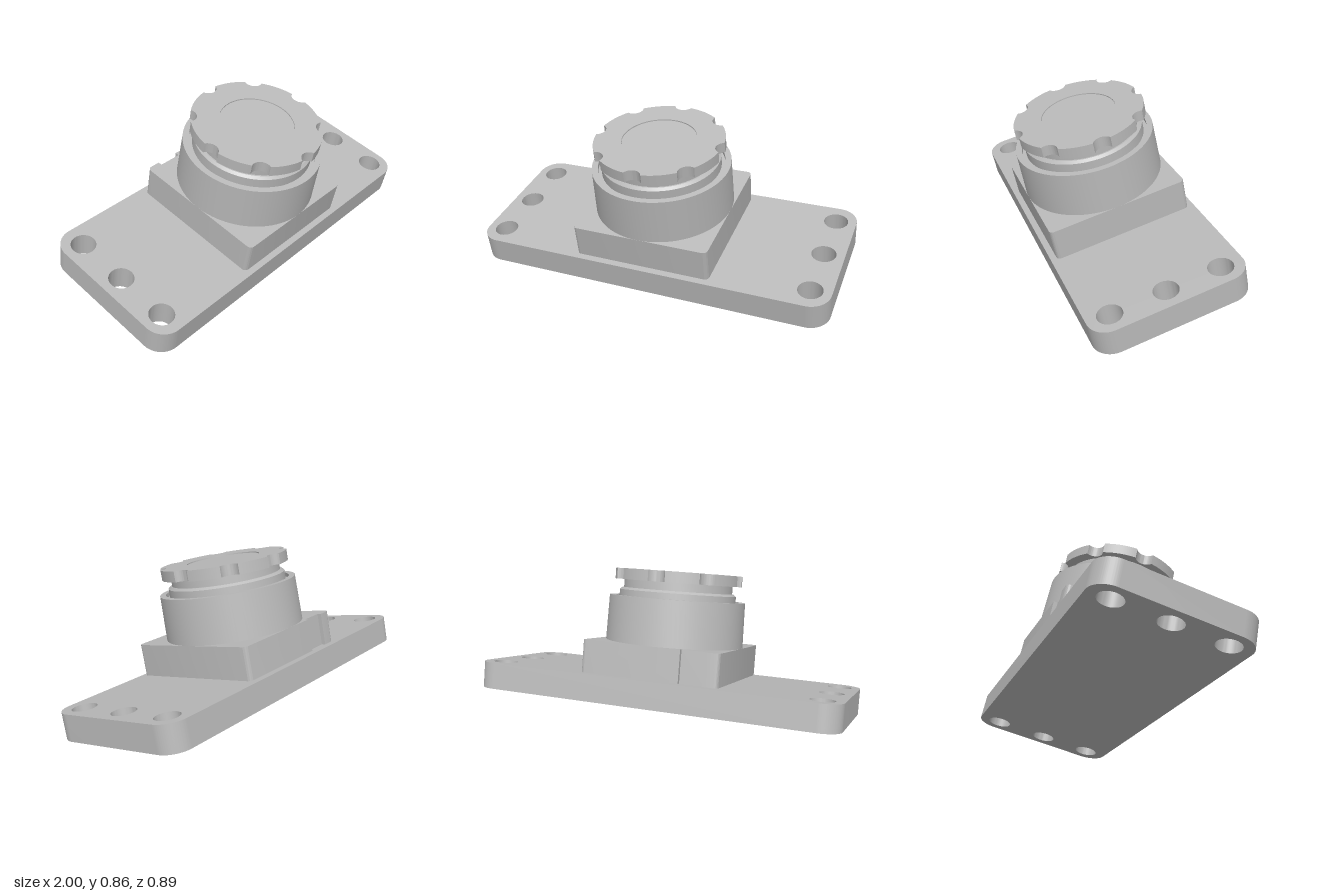
import * as THREE from 'three';
import { toCreasedNormals } from 'three/addons/utils/BufferGeometryUtils.js';

const grey = new THREE.MeshStandardMaterial({ color: 0xbababa });
grey.name = 'plain grey';

function part(name, geometry) {
  const mesh = new THREE.Mesh(toCreasedNormals(geometry, 0.5), grey);
  mesh.name = name;
  return mesh;
}

// Extrudes a plan outline (shape y points to the back) from height y0 to y1
function slab(name, shape, y0, y1) {
  const g = new THREE.ExtrudeGeometry(shape, { depth: y1 - y0, bevelEnabled: false, curveSegments: 24 });
  g.rotateX(-Math.PI / 2);
  g.translate(0, y0, 0);
  return part(name, g);
}

function circlePath(x, y, r) {
  return new THREE.Path().absarc(x, y, r, 0, Math.PI * 2, true);
}

// Rounded rectangle, with an optional slot { x0, x1, depth } cut in the back edge
function roundedRect(hw, hd, r, slot) {
  const s = new THREE.Shape();
  s.absarc(hw - r, -hd + r, r, -Math.PI / 2, 0, false);
  s.absarc(hw - r, hd - r, r, 0, Math.PI / 2, false);
  if (slot) {
    s.lineTo(slot.x1, hd);
    s.lineTo(slot.x1, hd - slot.depth);
    s.lineTo(slot.x0, hd - slot.depth);
    s.lineTo(slot.x0, hd);
  }
  s.absarc(-hw + r, hd - r, r, Math.PI / 2, Math.PI, false);
  s.absarc(-hw + r, -hd + r, r, Math.PI, Math.PI * 1.5, false);
  s.closePath();
  return s;
}

// Disc outline with eight finger scallops
function knobOutline(R, d, r) {
  const a = Math.acos((R * R + d * d - r * r) / (2 * R * d));
  const b = Math.atan2(R * Math.sin(a), R * Math.cos(a) - d);
  const s = new THREE.Shape();
  for (let i = 0; i < 8; i++) {
    const t = i * Math.PI / 4;
    s.absarc(d * Math.cos(t), d * Math.sin(t), r, t - b, t + b, true);
    s.absarc(0, 0, R, t + a, t + Math.PI / 4 - a, false);
  }
  s.closePath();
  return s;
}

export function createModel() {
  const model = new THREE.Group();
  model.name = 'tiltedKnobOnPlate';

  // Everything leans forward together
  const tilted = new THREE.Group();
  tilted.name = 'tiltedAssembly';
  tilted.rotation.x = THREE.MathUtils.degToRad(12);
  tilted.position.set(0, 0.086, -0.0435);
  model.add(tilted);

  // Mounting plate with three through holes at each end
  const plate = roundedRect(1, 0.4125, 0.11);
  for (const x of [-0.89, 0.89]) {
    for (const z of [-0.293, 0, 0.293]) plate.holes.push(circlePath(x, z, 0.065));
  }
  tilted.add(slab('mountingPlate', plate, 0, 0.143));

  // Square housing, standing just clear of the plate on a thin pad
  const pad = new THREE.CylinderGeometry(0.2, 0.2, 0.006, 48);
  pad.translate(0, 0.145, 0);
  tilted.add(part('pad', pad));
  const housing = roundedRect(0.38, 0.38, 0.025, { x0: -0.3, x1: -0.17, depth: 0.022 });
  tilted.add(slab('squareHousing', housing, 0.147, 0.322));

  // Round collar, its inner groove, chamfered ring and neck
  const profile = [
    [0.38, 0.32], [0.375, 0.568], [0.342, 0.568], [0.342, 0.545], [0.322, 0.545],
    [0.322, 0.6], [0.308, 0.612], [0.3, 0.612], [0.3, 0.656],
  ].map(([x, y]) => new THREE.Vector2(x, y));
  tilted.add(part('collarAndNeck', new THREE.LatheGeometry(profile, 96)));

  // Scalloped knob with a slightly sunken centre disc
  const knob = knobOutline(0.35, 0.365, 0.05);
  knob.holes.push(circlePath(0, 0, 0.2));
  tilted.add(slab('knob', knob, 0.655, 0.713));
  const disc = new THREE.CylinderGeometry(0.201, 0.201, 0.052, 64);
  disc.translate(0, 0.681, 0);
  tilted.add(part('knobDisc', disc));

  return model;
}
